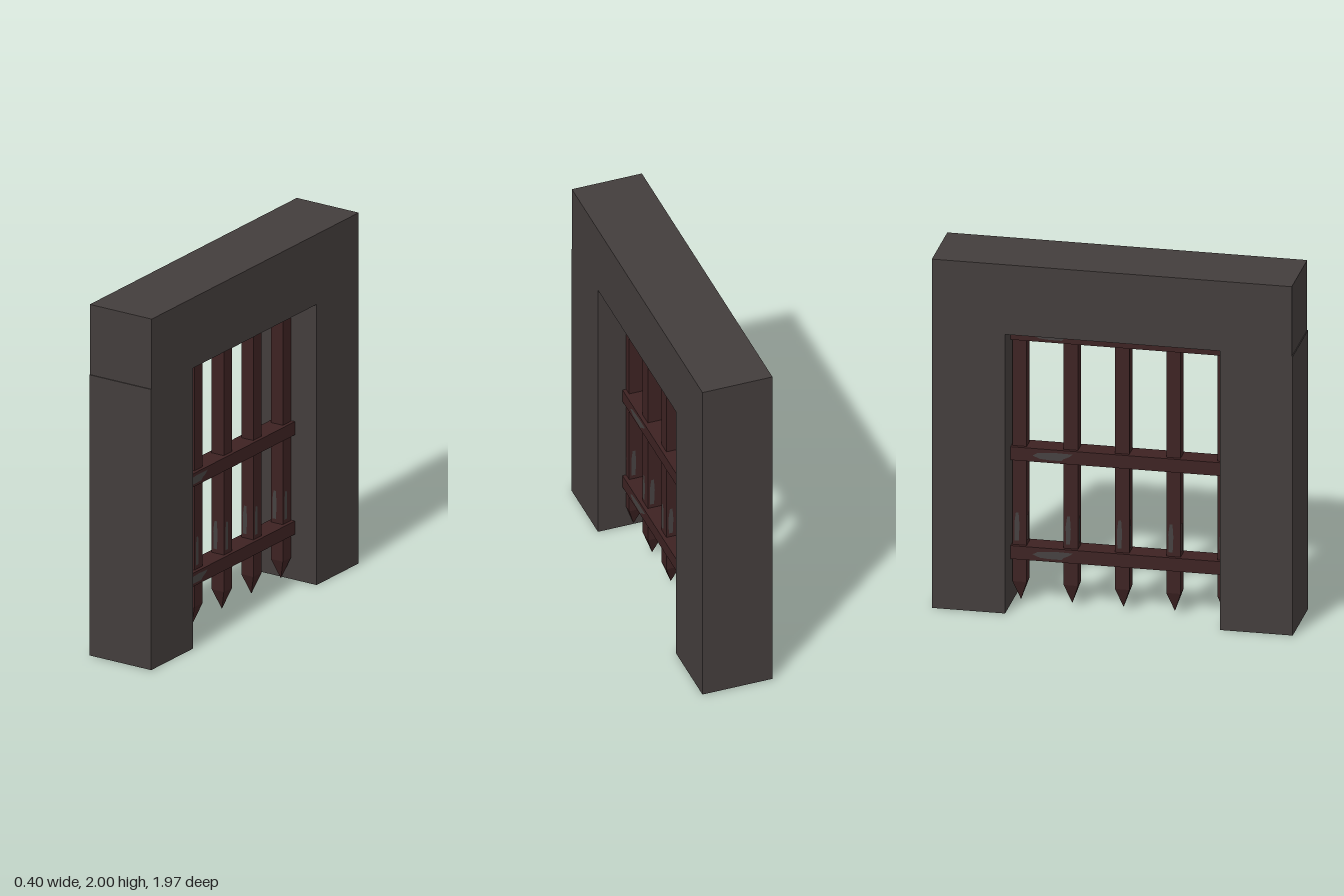
import * as THREE from 'three';

const stone = new THREE.MeshStandardMaterial({ color: 0x433d3c });
stone.name = 'dark stone';
const iron = new THREE.MeshStandardMaterial({ color: 0x3d2222 });
iron.name = 'rusted iron';
const worn = new THREE.MeshStandardMaterial({ color: 0x454140 });
worn.name = 'worn metal';

// Box given by its minimum and maximum corners
function box(name, material, [x0, y0, z0], [x1, y1, z1]) {
  const mesh = new THREE.Mesh(new THREE.BoxGeometry(x1 - x0, y1 - y0, z1 - z0), material);
  mesh.position.set((x0 + x1) / 2, (y0 + y1) / 2, (z0 + z1) / 2);
  mesh.name = name;
  return mesh;
}

// Flat ragged patch from an outline, facing +z
function patchGeometry(points) {
  return new THREE.ShapeGeometry(new THREE.Shape(points.map(([x, y]) => new THREE.Vector2(x, y))));
}

const railPatch = patchGeometry([
  [-0.11, -0.002], [-0.07, -0.018], [-0.02, -0.022], [0.05, -0.022], [0.06, -0.01],
  [0.09, 0.004], [0.11, 0.02], [0.02, 0.022], [-0.08, 0.015],
]);
const barPatch = patchGeometry([
  [-0.012, -0.08], [0.01, -0.08], [0.014, 0.01], [0.009, 0.08], [-0.006, 0.08], [-0.014, 0.02],
]);

export function createModel() {
  const model = new THREE.Group();
  model.name = 'portcullis gateway';

  // Stone gateway
  model.add(
    box('frontPost', stone, [-0.2, 0, 0.587], [0.2, 1.6, 0.985]),
    box('backPost', stone, [-0.2, 0, -0.985], [0.2, 1.6, -0.585]),
    box('lintel', stone, [-0.2, 1.6, -0.985], [0.2, 2, 0.98]),
  );

  const grate = new THREE.Group();
  grate.name = 'grate';
  model.add(grate);

  // Upright bars with pointed feet
  for (let i = 0; i < 5; i++) {
    const z = 0.58 - i * 0.28;
    const bar = new THREE.Group();
    bar.name = 'bar';
    bar.position.z = z;
    bar.add(box('shaft', iron, [-0.039, 0.125, -0.039], [0.039, 1.58, 0.039]));
    const spikeGeometry = new THREE.CylinderGeometry(0.039 * Math.SQRT2, 0, 0.115, 4, 1, true)
      .rotateY(Math.PI / 4).toNonIndexed();
    spikeGeometry.computeVertexNormals();
    const spike = new THREE.Mesh(spikeGeometry, iron);
    spike.position.y = 0.0675;
    spike.name = 'spike';
    bar.add(spike);

    // Worn patch on each of the four sides
    for (let side = 0; side < 4; side++) {
      const turn = new THREE.Group();
      turn.rotation.y = side * Math.PI / 2;
      const patch = new THREE.Mesh(barPatch, worn);
      patch.position.set(-0.014, 0.44, 0.041);
      patch.name = 'barWear';
      turn.add(patch);
      bar.add(turn);
    }
    grate.add(bar);
  }

  // Cross rails, worn on both faces
  for (const y of [0.298, 0.865, 1.555]) {
    const rail = new THREE.Group();
    rail.name = 'rail';
    rail.position.y = y;
    rail.add(box('railBeam', iron, [-0.06, -0.038, -0.59], [0.06, 0.038, 0.59]));
    for (const s of [1, -1]) {
      const patch = new THREE.Mesh(railPatch, worn);
      patch.position.set(s * 0.062, 0, s * 0.355);
      patch.rotation.y = s * Math.PI / 2;
      patch.name = 'railWear';
      rail.add(patch);
    }
    grate.add(rail);
  }
  return model;
}
